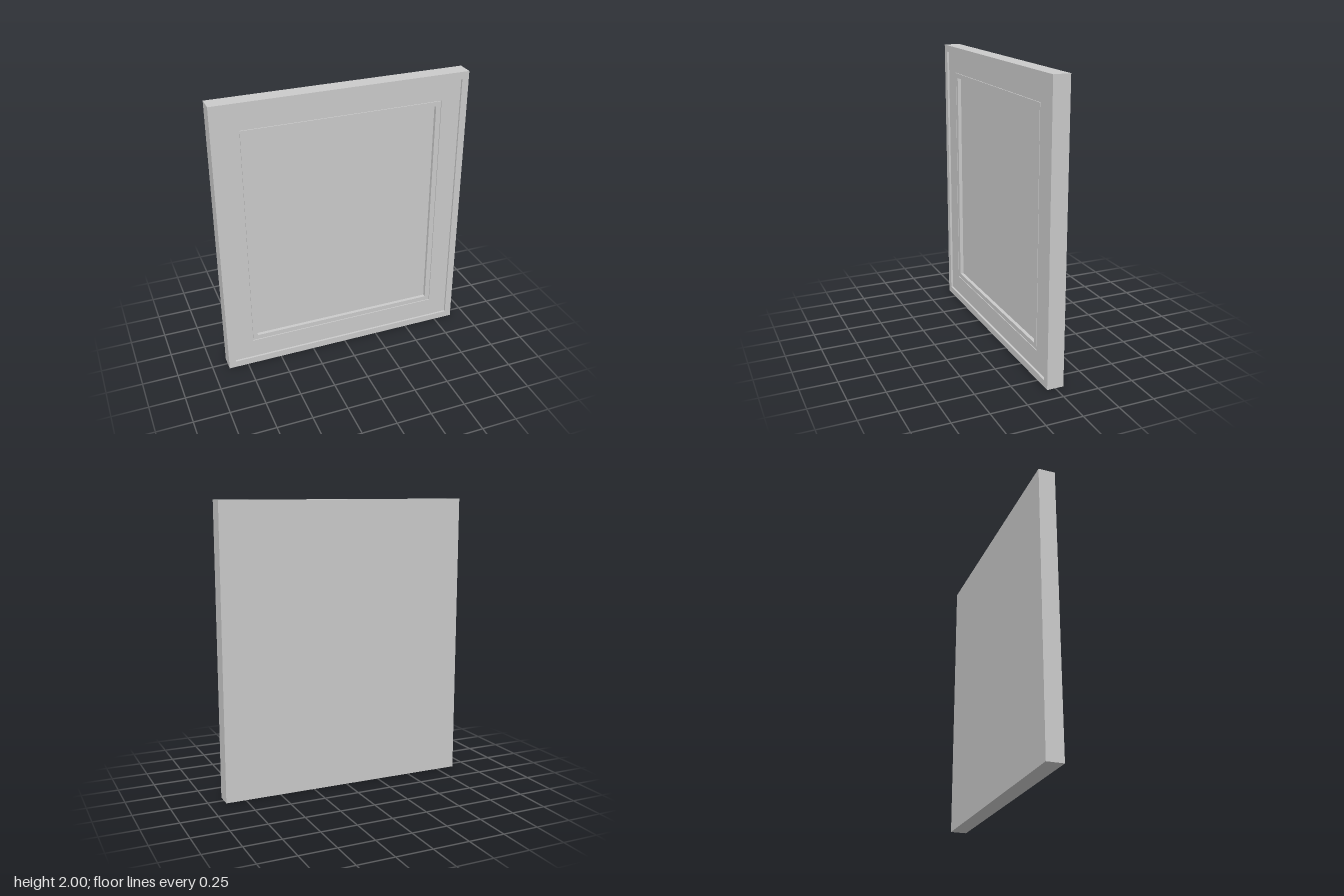
import * as THREE from 'three';

const HALF_W = 0.888, HEIGHT = 2, Z = 0.058;

// Mitred corners of a rectangle set in from the outline, counter-clockwise from the front.
function corners([inset, z]) {
  const x = HALF_W - inset, y0 = inset, y1 = HEIGHT - inset;
  return [[-x, y0, z], [x, y0, z], [x, y1, z], [-x, y1, z]];
}

// Sweep a profile of [inset, z] points around the rectangle; optionally cap its ends.
function sweepFrame(name, profile, { capBack = false, capFront = false } = {}) {
  const pos = [];
  const quad = (a, b, c, d) => pos.push(...a, ...b, ...c, ...a, ...c, ...d);
  const loops = profile.map(corners);
  for (let i = 0; i < loops.length - 1; i++) {
    for (let k = 0; k < 4; k++) {
      const n = (k + 1) % 4;
      quad(loops[i][k], loops[i][n], loops[i + 1][n], loops[i + 1][k]);
    }
  }
  if (capBack) quad(...[...loops[0]].reverse());
  if (capFront) quad(...loops[loops.length - 1]);

  const geometry = new THREE.BufferGeometry();
  geometry.setAttribute('position', new THREE.Float32BufferAttribute(pos, 3));
  geometry.computeVertexNormals();
  const mesh = new THREE.Mesh(geometry, new THREE.MeshStandardMaterial({ color: 0xcccccc, flatShading: true }));
  mesh.name = name;
  return mesh;
}

export function createModel() {
  const group = new THREE.Group();
  group.name = 'framedPanel';
  const field = Z - 0.015, groove = Z - 0.022, panel = Z - 0.04;

  group.add(
    // Back, sides and narrow raised rim
    sweepFrame('outerRim', [[0, -Z], [0, Z], [0.048, Z], [0.048, field]], { capBack: true }),
    // Wide flat border inside the rim
    sweepFrame('frameBorder', [[0.048, field], [0.186, field]]),
    // Fine groove and the inner lip
    sweepFrame('innerLip', [[0.186, field], [0.186, groove], [0.192, groove], [0.192, field], [0.225, field], [0.225, panel]]),
    // Recessed centre panel
    sweepFrame('centrePanel', [[0.225, panel]], { capFront: true }),
  );
  return group;
}
